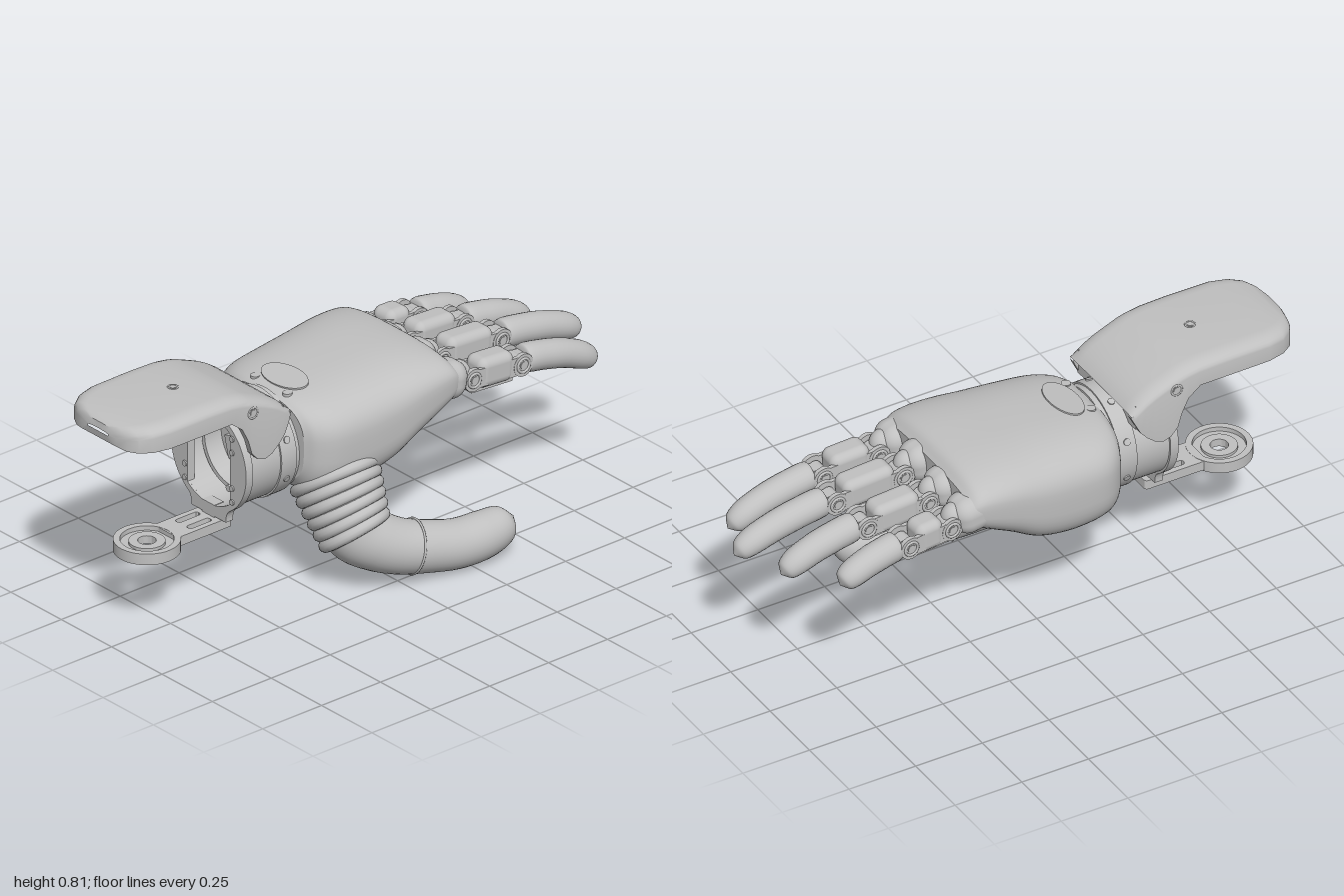
import * as THREE from 'three';
import { toCreasedNormals } from 'three/addons/utils/BufferGeometryUtils.js';
import { RoundedBoxGeometry } from 'three/addons/geometries/RoundedBoxGeometry.js';

const V = (x, y, z) => new THREE.Vector3(x, y, z);
const CX = -0.07; // forearm axis
const CY = 0.5;

export function createModel() {
  const model = new THREE.Group();
  const grey = new THREE.MeshStandardMaterial({ color: 0xc0c0c0 });
  grey.name = 'grey';

  const add = (name, geo, parent = model) => {
    const m = new THREE.Mesh(geo, grey);
    m.name = name;
    parent.add(m);
    return m;
  };

  // Skin over a list of rings with equal point counts
  const loft = (rings) => {
    const n = rings[0].length, idx = [];
    for (let i = 0; i < rings.length - 1; i++)
      for (let j = 0; j < n; j++) {
        const a = i * n + j, b = i * n + (j + 1) % n;
        idx.push(a, b, a + n, b, b + n, a + n);
      }
    const g = new THREE.BufferGeometry().setFromPoints(rings.flat());
    g.setIndex(idx);
    g.computeVertexNormals();
    return g;
  };

  // Round limb along points [x, y, z, radius]
  const limb = (pts, steps, sides) => {
    const path = new THREE.CatmullRomCurve3(pts.map((p) => V(p[0], p[1], p[2])));
    const radius = new THREE.CatmullRomCurve3(pts.map((p, i) => V(p[3], i, 0)), false, 'catmullrom');
    const rings = [];
    for (let i = 0; i <= steps; i++) {
      const c = path.getPoint(i / steps), t = path.getTangent(i / steps);
      const r = Math.max(radius.getPoint(i / steps).x, 0.001);
      const b = t.clone().cross(V(1, 0, 0)).normalize(), n = b.clone().cross(t);
      rings.push(Array.from({ length: sides }, (_, j) => {
        const a = (j / sides) * Math.PI * 2;
        return c.clone().addScaledVector(n, r * Math.cos(a)).addScaledVector(b, r * Math.sin(a));
      }));
    }
    return loft(rings);
  };

  const extrude = (shape, depth) => toCreasedNormals(
    new THREE.ExtrudeGeometry(shape, { depth, bevelEnabled: false, curveSegments: 32 }), 0.6);
  const roundRect = (x0, y0, x1, y1, r) => {
    const s = new THREE.Shape();
    s.absarc(x1 - r, y0 + r, r, -Math.PI / 2, 0);
    s.absarc(x1 - r, y1 - r, r, 0, Math.PI / 2);
    s.absarc(x0 + r, y1 - r, r, Math.PI / 2, Math.PI);
    s.absarc(x0 + r, y0 + r, r, Math.PI, Math.PI * 1.5);
    return s;
  };
  const rod = (name, r, len, axis, x, y, z, parent) => {
    const g = new THREE.CylinderGeometry(r, r, len, 24);
    if (axis === 'x') g.rotateZ(Math.PI / 2);
    if (axis === 'z') g.rotateX(Math.PI / 2);
    return add(name, g.translate(x, y, z), parent);
  };

  // Palm: rounded cross-sections [z, centre x, half width, top, bottom]
  const sections = [
    [0.295, -0.075, 0.205, 0.665, 0.385], [0.265, -0.08, 0.25, 0.678, 0.35], [0.2, -0.082, 0.285, 0.688, 0.337],
    [0.08, -0.083, 0.298, 0.7, 0.333], [-0.04, -0.085, 0.303, 0.708, 0.36], [-0.14, -0.086, 0.304, 0.712, 0.42],
    [-0.22, -0.087, 0.302, 0.708, 0.465], [-0.28, -0.088, 0.296, 0.694, 0.5], [-0.315, -0.088, 0.285, 0.66, 0.53]];
  const place = new THREE.CatmullRomCurve3(sections.map((s) => V(s[0], s[1], s[2])), false, 'catmullrom');
  const height = new THREE.CatmullRomCurve3(sections.map((s, i) => V(s[3], s[4], i)), false, 'catmullrom');
  const palmRing = (t, k = 1) => {
    const p = place.getPoint(t), h = height.getPoint(t), mid = h.y + (h.x - h.y) * 0.55;
    return Array.from({ length: 64 }, (_, j) => {
      const a = (j / 64) * Math.PI * 2, c = Math.cos(a), s = -Math.sin(a);
      const e = (v) => Math.sign(v) * Math.abs(v) ** (s > 0 ? 0.72 : 0.6);
      return V(p.y + p.z * e(c) * k, mid + (s > 0 ? h.x - mid : mid - h.y) * e(s) * k, p.x);
    });
  };
  const rings = [palmRing(0, 0.001), palmRing(0)];
  for (let i = 0; i <= 40; i++) rings.push(palmRing(i / 40));
  rings.push(palmRing(1), palmRing(1, 0.001));
  add('palm', loft(rings));

  // Oval cover and screws on the back of the hand
  add('dorsalCover', new THREE.CylinderGeometry(0.1, 0.1, 0.006, 40).scale(1, 1, 0.55).rotateX(0.13).translate(CX, 0.688, 0.205));
  for (const s of [-1, 1]) rod('dorsalScrew', 0.016, 0.01, 'y', CX + s * 0.08, 0.676, 0.262);
  // Slanted creases across the palm
  for (let i = 0; i < 5; i++) {
    const z = -0.08 - i * 0.045, y = 0.398 + i * 0.024;
    add('palmCrease', new THREE.TubeGeometry(new THREE.CatmullRomCurve3(
      [V(-0.29, y + 0.03, z - 0.02), V(-0.17, y, z), V(-0.02, y, z + 0.01), V(0.11, y + 0.03, z - 0.01)]), 20, 0.011, 8));
  }

  // Fingers: [base x, base y, proximal length, full length, sideways lean, tip drop]
  const fingers = [[-0.318, 0.565, 0.17, 0.42, 0.05, 0.06], [-0.175, 0.58, 0.24, 0.55, 0.015, 0.075],
    [-0.017, 0.587, 0.26, 0.628, 0, 0.075], [0.137, 0.573, 0.215, 0.555, -0.02, 0.088]];
  for (const [x, y, L, full, lean, drop] of fingers) {
    add('knuckleLobe', new RoundedBoxGeometry(0.132, 0.132, 0.16, 6, 0.055).rotateX(-0.15).translate(x, y + 0.02, -0.285));
    add('knuckle', new THREE.SphereGeometry(0.046, 24, 16).scale(0.95, 1.1, 1).translate(x, y + 0.015, -0.35));
    const f = new THREE.Group();
    f.name = 'finger';
    f.position.set(x, y, -0.375);
    f.rotation.set(-0.06, lean, 0, 'YXZ');
    model.add(f);
    const body = L - 0.07;
    add('proximalSegment', new RoundedBoxGeometry(0.096, 0.106, body, 5, 0.03).translate(0, 0.005, -0.038 - body / 2), f);
    add('undersideLink', new THREE.BoxGeometry(0.04, 0.02, L * 0.8).translate(0, -0.05, -L / 2), f);
    // Forked hinges at both ends of the proximal segment
    for (const z of [-0.01, -L]) {
      rod('hingeHub', 0.026, 0.05, 'x', 0, 0, z, f);
      rod('hingePin', 0.014, 0.1, 'x', 0, 0, z, f);
      for (const s of [-1, 1]) {
        rod('hingeEar', 0.04, 0.015, 'x', s * 0.0395, 0, z, f);
        add('hingeRing', new THREE.TorusGeometry(0.024, 0.005, 8, 24).rotateY(Math.PI / 2).translate(s * 0.047, 0, z), f);
        add('forkArm', new THREE.BoxGeometry(0.014, 0.065, 0.06).translate(s * 0.039, 0, z + (z < -0.05 ? 0.028 : -0.035)), f);
      }
    }
    add('hingeTongue', new THREE.BoxGeometry(0.045, 0.05, 0.06).translate(0, 0, -L - 0.03), f);
    const d = full - L, at = (k, dy, r) => [0, -drop * dy, -L - d * k, r];
    add('fingertip', limb([[0, 0, -L - 0.028, 0.001], [0, 0, -L - 0.03, 0.045], at(0.35, 0.12, 0.05), at(0.6, 0.32, 0.049),
      at(0.82, 0.62, 0.046), at(0.94, 0.87, 0.034), at(1, 1, 0.001)], 40, 24), f);
  }

  // Thumb, growing out of the palm
  add('thumb', limb([[0.02, 0.48, 0.13, 0.11], [0.07, 0.42, 0.133, 0.13], [0.12, 0.335, 0.135, 0.132],
    [0.16, 0.255, 0.135, 0.12], [0.19, 0.2, 0.122, 0.108], [0.222, 0.16, 0.07, 0.1], [0.25, 0.128, 0, 0.093],
    [0.276, 0.103, -0.1, 0.087], [0.297, 0.084, -0.21, 0.083], [0.306, 0.086, -0.32, 0.079], [0.307, 0.1, -0.4, 0.06],
    [0.306, 0.11, -0.443, 0.001]], 80, 36));
  // Bellows around the thumb root
  for (let i = 0; i < 6; i++) {
    const k = i / 5;
    const ring = add('bellowsRing', new THREE.TorusGeometry(0.134 - 0.026 * k, 0.022, 12, 48));
    ring.position.set(0.098 + 0.088 * k, 0.37 - 0.165 * k, 0.135 - 0.006 * k);
    ring.lookAt(ring.position.clone().add(V(0.57, -0.8, -0.15 * k)));
  }
  const seam = add('thumbSeam', new THREE.TorusGeometry(0.091, 0.004, 8, 48));
  seam.position.set(0.2635, 0.115, -0.05);
  seam.lookAt(0.289, 0.09, -0.15);

  // Hollow wrist barrel with end collar
  const tube = (name, r1, r0, z0, z1) => {
    const s = new THREE.Shape().absarc(CX, CY, r1, 0, Math.PI * 2);
    if (r0) s.holes.push(new THREE.Path().absarc(CX, CY, r0, 0, Math.PI * 2, true));
    add(name, extrude(s, z1 - z0).translate(0, 0, z0));
  };
  tube('wristCollar', 0.184, 0.16, 0.31, 0.375);
  tube('wristBarrel', 0.178, 0.165, 0.29, 0.52);
  tube('wristFloor', 0.17, 0, 0.28, 0.36);
  tube('innerRing', 0.15, 0.135, 0.36, 0.43);
  for (let i = 0; i < 8; i++) {
    const a = (i + 0.5) * Math.PI / 4;
    const m = rod('collarScrew', 0.012, 0.008, 'y', 0, 0, 0);
    m.position.set(CX + 0.184 * Math.sin(a), CY + 0.184 * Math.cos(a), 0.343);
    m.rotation.z = -a;
  }

  // Front flange: round plate with flared tabs above and below
  const flange = new THREE.Shape();
  const R = 0.186, q = 1.0;
  flange.absarc(CX, CY, R, -q, q);
  flange.quadraticCurveTo(CX + 0.09, 0.67, CX + 0.09, 0.7).lineTo(CX + 0.09, 0.725).lineTo(CX - 0.09, 0.725).lineTo(CX - 0.09, 0.7);
  flange.quadraticCurveTo(CX - 0.09, 0.67, CX - R * Math.cos(q), CY + R * Math.sin(q));
  flange.absarc(CX, CY, R, Math.PI - q, Math.PI + q);
  flange.quadraticCurveTo(CX - 0.085, 0.33, CX - 0.085, 0.298).lineTo(CX + 0.085, 0.298);
  flange.quadraticCurveTo(CX + 0.085, 0.33, CX + R * Math.cos(q), CY - R * Math.sin(q));
  const opening = new THREE.Path();
  const o = Math.acos(0.105 / 0.165);
  opening.absarc(CX, CY, 0.165, o, Math.PI - o);
  opening.absarc(CX, CY, 0.165, Math.PI + o, -o);
  opening.closePath();
  flange.holes.push(opening);
  add('frontFlange', extrude(flange, 0.03).translate(0, 0, 0.498));
  for (const sx of [-1, 1]) for (const sy of [-0.115, -0.065, 0.065, 0.115])
    rod('flangeScrew', 0.01, 0.008, 'z', CX + sx * 0.117, CY + sy, 0.529);

  // Drive parts inside the barrel
  add('driveBlock', new THREE.BoxGeometry(0.08, 0.08, 0.06).rotateZ(0.25).translate(CX, CY, 0.39));
  add('connector', new THREE.BoxGeometry(0.07, 0.055, 0.06).rotateZ(0.25).translate(0, 0.525, 0.39));
  add('terminal', new THREE.BoxGeometry(0.12, 0.065, 0.05).rotateZ(0.25).translate(-0.09, 0.615, 0.4));
  rod('post', 0.012, 0.12, 'z', -0.003, 0.6, 0.42);
  rod('post', 0.012, 0.12, 'z', -0.03, 0.388, 0.42);

  // Upper cover: hollow shell with side cheeks, sections [z, half width, top, bottom]
  const cover = [[0.996, 0.05, 0.768, 0.758], [0.992, 0.085, 0.79, 0.732], [0.98, 0.125, 0.798, 0.725], [0.96, 0.16, 0.803, 0.725],
    [0.92, 0.187, 0.807, 0.725], [0.86, 0.201, 0.81, 0.725], [0.7, 0.2025, 0.811, 0.725], [0.6, 0.2025, 0.808, 0.725],
    [0.555, 0.2025, 0.801, 0.69], [0.53, 0.2025, 0.795, 0.64], [0.515, 0.2025, 0.79, 0.59], [0.49, 0.2025, 0.78, 0.562],
    [0.46, 0.2025, 0.768, 0.552], [0.43, 0.2025, 0.755, 0.562], [0.4, 0.2025, 0.739, 0.587], [0.375, 0.2025, 0.722, 0.615],
    [0.355, 0.2, 0.705, 0.655], [0.342, 0.195, 0.69, 0.682]];
  add('forearmCover', toCreasedNormals(loft(cover.map(([z, w, top, low]) => {
    const roof = z > 0.93 ? low : Math.max(low, top - 0.025), wi = w - 0.022;
    const rx = Math.min(0.06, w), ry = Math.min(0.032, (top - low) / 2);
    const pts = [[w, low], [wi, low], [wi, roof], [-wi, roof], [-wi, low], [-w, low]];
    for (const s of [-1, 1]) for (let i = 0; i <= 6; i++) {
      const a = (s < 0 ? i : 6 - i) * Math.PI / 12;
      pts.push([s * (w - rx + rx * Math.cos(a)), top - ry + ry * Math.sin(a)]);
    }
    return pts.map(([x, y]) => V(-0.0725 + x, y, z));
  })), 0.6));
  for (const s of [-1, 1]) {
    const x = -0.0725 + s * 0.2005;
    add('coverWeb', new THREE.BoxGeometry(0.095, 0.09, 0.015).translate(CX + s * 0.1375, 0.665, 0.375));
    rod('cheekScrew', 0.012, 0.008, 'x', x, 0.737, 0.51);
    add('cheekScrewRim', new THREE.TorusGeometry(0.019, 0.004, 8, 28).rotateY(Math.PI / 2).translate(x, 0.737, 0.51));
  }
  rod('coverScrew', 0.01, 0.004, 'y', CX, 0.81, 0.68);
  add('coverScrewRim', new THREE.TorusGeometry(0.016, 0.003, 8, 28).rotateX(Math.PI / 2).translate(CX, 0.81, 0.68));

  // Lower bracket: slotted arm and ring-shaped mount
  const arm = roundRect(CX - 0.06, 0.478, CX + 0.06, 0.71, 0.012);
  for (const s of [-1, 1]) {
    const x = CX + s * 0.028;
    arm.holes.push(roundRect(x - 0.012, 0.545, x + 0.012, 0.64, 0.011));
    rod('bracketScrew', 0.012, 0.006, 'y', CX + s * 0.04, 0.297, 0.51);
  }
  add('bracketArm', extrude(arm, 0.034).rotateX(Math.PI / 2).translate(0, 0.295, 0));
  add('bracketPost', new THREE.BoxGeometry(0.06, 0.05, 0.04).translate(CX, 0.315, 0.51));
  const mount = [[0.03, 0.262], [0.06, 0.262], [0.06, 0.27], [0.085, 0.27], [0.085, 0.256], [0.11, 0.256], [0.11, 0.296],
    [0.088, 0.296], [0.088, 0.28], [0.06, 0.28], [0.06, 0.29], [0.03, 0.29], [0.03, 0.262]];
  add('bracketMount', toCreasedNormals(new THREE.LatheGeometry(mount.map((p) => new THREE.Vector2(...p)), 48), 0.6)
    .translate(CX, 0, 0.79));
  return model;
}
